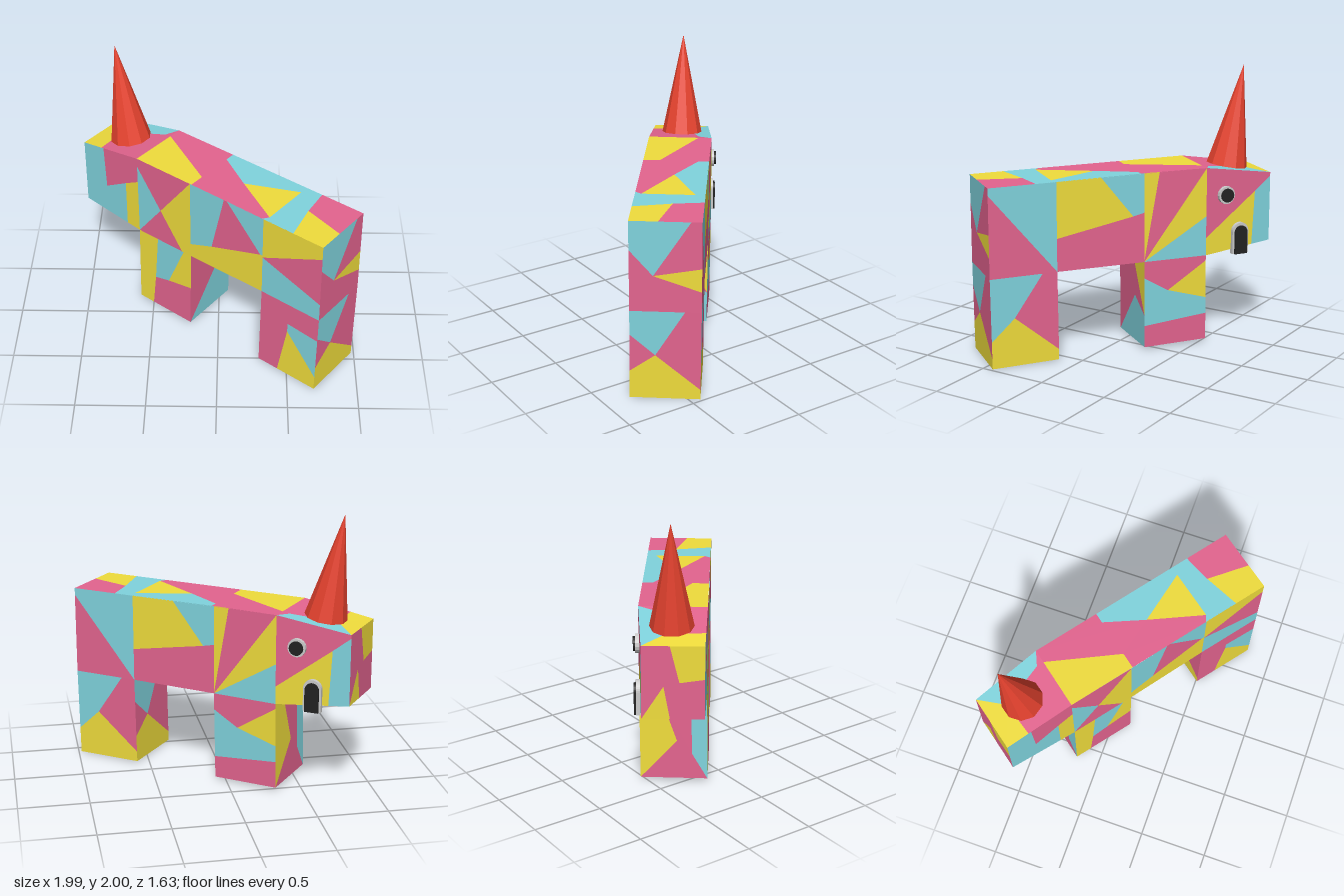
import * as THREE from 'three';

const mat = (color) => new THREE.MeshStandardMaterial({ color, flatShading: true });
const paint = { y: mat(0xf0dd3c), p: mat(0xe4648f), c: mat(0x80d4de) };
const red = mat(0xe8432f), grey = mat(0xcccccc), black = mat(0x222222);

// Sections along the animal, head to tail: [x, z] on both flanks, then top, belly and foot heights
const sections = [
  { right: [-1, -0.49], left: [-0.75, -0.82], top: 1.23, belly: 0.72, foot: 0.03 },
  { right: [-0.59, -0.17], left: [-0.3, -0.54], top: 1.31, belly: 0.665, foot: 0.03 },
  { right: [-0.2, 0.13], left: [0.08, -0.25], top: 1.31, belly: 0.663, foot: 0.02 },
  { right: [0.31, 0.51], left: [0.6, 0.14], top: 1.3, belly: 0.66, foot: 0.015 },
  { right: [0.7, 0.81], left: [0.99, 0.43], top: 1.295, belly: 0.655, foot: 0.005 },
];

// Corner point: section number, flank and level (feet lean slightly towards the head)
function at(i, side, level) {
  const s = sections[i], lean = level === 'foot' ? -0.01 : 0;
  return new THREE.Vector3(s[side][0] + lean, s[level], s[side][1]);
}

// A four-cornered panel tiled with coloured patches given as u, v pairs
function panel(name, [a, b, c, d], patches) {
  const group = new THREE.Group();
  group.name = name;
  for (const [color, ...uv] of patches) {
    const points = [];
    for (let i = 0; i < uv.length; i += 2) points.push(new THREE.Vector2(uv[i], uv[i + 1]));
    const geo = new THREE.ShapeGeometry(new THREE.Shape(points)).toNonIndexed();
    const pos = geo.attributes.position;
    for (let i = 0; i < pos.count; i++) {
      const u = pos.getX(i), v = pos.getY(i);
      const low = a.clone().lerp(b, u), high = d.clone().lerp(c, u);
      const q = low.lerp(high, v);
      pos.setXYZ(i, q.x, q.y, q.z);
    }
    geo.computeVertexNormals();
    const mesh = new THREE.Mesh(geo, paint[color]);
    mesh.name = name + 'Patch';
    group.add(mesh);
  }
  return group;
}

// Panel orientations, each counter-clockwise from outside
const rightFlank = (i, hi, lo) => [at(i, 'right', lo), at(i + 1, 'right', lo), at(i + 1, 'right', hi), at(i, 'right', hi)];
const leftFlank = (i, hi, lo) => [at(i + 1, 'left', lo), at(i, 'left', lo), at(i, 'left', hi), at(i + 1, 'left', hi)];
const tailward = (i, hi, lo) => [at(i, 'right', lo), at(i, 'left', lo), at(i, 'left', hi), at(i, 'right', hi)];
const headward = (i, hi, lo) => [at(i, 'left', lo), at(i, 'right', lo), at(i, 'right', hi), at(i, 'left', hi)];
const upper = (i, j) => [at(i, 'right', 'top'), at(j, 'right', 'top'), at(j, 'left', 'top'), at(i, 'left', 'top')];
const under = (i, level) => [at(i, 'left', level), at(i + 1, 'left', level), at(i + 1, 'right', level), at(i, 'right', level)];

function archShape(w, h) {
  const r = w / 2, s = new THREE.Shape();
  s.moveTo(-r, 0);
  s.lineTo(r, 0);
  s.lineTo(r, h - r);
  s.absarc(0, h - r, r, 0, Math.PI, false);
  return s;
}

function add(parent, name, geo, material, x = 0, y = 0, z = 0) {
  const mesh = new THREE.Mesh(geo, material);
  mesh.name = name;
  mesh.position.set(x, y, z);
  parent.add(mesh);
  return mesh;
}

export function createModel() {
  const model = new THREE.Group();
  model.name = 'patchworkAnimal';
  const put = (...args) => model.add(panel(...args));

  // Right flank
  put('headRight', rightFlank(0, 'top', 'belly'), [
    ['c', 0, 0, .77, 0, .77, .59, .4, .41, .37, 1, 0, 1],
    ['p', .37, 1, .4, .41, .77, .59, 1, .68, 1, 1],
    ['y', .77, 0, 1, 0, 1, .68, .77, .59]]);
  put('shoulderRight', rightFlank(1, 'top', 'belly'), [
    ['c', 0, 0, .43, .43, 0, .89], ['p', 0, .89, .43, .43, 1, 1, 0, 1],
    ['y', 1, 1, .43, .43, .83, 0, 1, 0], ['p', 0, 0, .83, 0, .43, .43]]);
  put('sideRight', rightFlank(2, 'top', 'belly'), [
    ['c', 0, .17, .3, .28, .47, 1, 0, 1], ['p', .47, 1, .3, .28, .97, .5, .51, 1],
    ['c', .51, 1, .97, .5, 1, .5, 1, 1],
    ['y', 0, 0, 1, 0, 1, .5, .97, .5, .3, .28, 0, .17]]);
  put('hipRight', rightFlank(3, 'top', 'belly'), [
    ['y', 0, .475, 1, .84, 1, 1, 0, 1], ['p', 0, .475, 1, .22, 1, .84],
    ['c', 0, 0, 1, 0, 1, .22, 0, .475]]);
  put('frontLegRight', rightFlank(1, 'belly', 'foot'), [
    ['y', 0, 0, .26, 0, .31, .41, .36, 1, 0, 1], ['c', .36, 1, .31, .41, .57, .46, .86, 1],
    ['y', .86, 1, .57, .46, 1, .52, 1, 1], ['p', .26, 0, 1, 0, 1, .52, .57, .46, .31, .41]]);
  put('rearLegRight', rightFlank(3, 'belly', 'foot'), [
    ['p', 0, 0, .34, 0, .48, .62, .48, .73, 1, .7, 1, 1, 0, 1],
    ['c', .48, .62, 1, .17, 1, .7, .48, .73], ['y', .34, 0, 1, 0, 1, .17, .48, .62]]);

  // Left flank
  put('hipLeft', leftFlank(3, 'top', 'belly'), [
    ['p', 0, 0, 1, 0, 0, .92], ['c', 0, .92, 1, 0, 1, 1, 0, 1]]);
  put('sideLeft', leftFlank(2, 'top', 'belly'), [
    ['y', 0, .37, .87, .53, .5, 1, 0, 1], ['c', .5, 1, .87, .53, 1, .56, 1, 1],
    ['p', 0, 0, 1, 0, 1, .56, .87, .53, 0, .37]]);
  put('shoulderLeft', leftFlank(1, 'top', 'belly'), [
    ['y', 0, 0, .24, 1, 0, 1], ['p', 0, 0, 1, 1, .24, 1],
    ['y', 0, 0, 1, .45, 1, 1], ['c', 0, 0, 1, 0, 1, .45]]);
  put('headLeft', leftFlank(0, 'top', 'belly'), [
    ['p', 0, .2, .76, .73, 1, .95, 1, 1, 0, 1], ['c', .72, 0, 1, 0, 1, .95, .76, .73],
    ['y', 0, 0, .72, 0, .76, .73, 0, .2]]);
  put('rearLegLeft', leftFlank(3, 'belly', 'foot'), [
    ['c', 0, .3, .35, .54, .78, 1, 0, 1], ['p', .78, 1, .35, .54, 1, .12, 1, 1],
    ['y', 0, 0, 1, 0, 1, .12, .35, .54, 0, .3]]);
  put('frontLegLeft', leftFlank(1, 'belly', 'foot'), [
    ['p', 0, .81, .38, .64, 1, .94, 1, 1, 0, 1], ['y', .38, .64, 1, .5, 1, .94],
    ['c', 0, .25, 1, .31, 1, .5, .38, .64, 0, .81], ['p', 0, 0, 1, 0, 1, .31, 0, .25]]);

  // Tail end and the faces of the legs
  const rearLegEnd = [
    ['c', 0, .73, .36, .5, .77, 1, 0, 1], ['p', 0, .31, .36, .5, 0, .73],
    ['p', .77, 1, .36, .5, 1, .11, 1, 1], ['y', 0, 0, 1, 0, 1, .11, .36, .5, 0, .31]];
  put('tailEnd', tailward(4, 'top', 'belly'), [
    ['c', 0, .68, .33, .4, .85, 1, 0, 1], ['p', 0, 0, 1, 0, 1, .23, .33, .4, 0, .68],
    ['y', .33, .4, 1, .23, 1, .49], ['p', .33, .4, 1, .49, 1, 1, .85, 1]]);
  put('rearLegBack', tailward(4, 'belly', 'foot'), rearLegEnd);
  put('rearLegFront', headward(3, 'belly', 'foot'), rearLegEnd);
  put('frontLegBack', tailward(2, 'belly', 'foot'), [
    ['p', 0, 0, .62, .54, 1, .37, .56, 1, 0, 1], ['y', .56, 1, 1, .37, 1, 1],
    ['c', 0, 0, 1, 0, 1, .37, .62, .54]]);
  put('frontLegFront', headward(1, 'belly', 'foot'), [
    ['y', 0, 0, .55, .45, .3, 1, 0, 1], ['c', .77, .3, 1, 0, 1, 1, .77, 1],
    ['p', 0, 0, 1, 0, .77, .3, .77, 1, .3, 1, .55, .45]]);
  put('face', headward(0, 'top', 'belly'), [
    ['y', 0, 0, .45, 0, .35, .45], ['y', .45, 1, .6, .5, 1, .55, 1, 1],
    ['p', 0, 0, .35, .45, .45, 0, 1, 0, 1, .55, .6, .5, .45, 1, 0, 1]]);

  // Top
  put('headTop', upper(0, 1), [
    ['y', 0, 0, .33, 0, .3, .6, 0, 1], ['c', 0, 1, .3, .6, .9, .8, 1, 1],
    ['p', .33, 0, 1, 0, 1, 1, .9, .8, .3, .6]]);
  put('backTop', upper(1, 4), [
    ['y', 0, 0, .31, 0, .31, .25, 0, .79],
    ['p', .31, 0, .69, 0, .71, .09, .48, .51, .31, .84, .31, 1, 0, 1, 0, .79, .31, .25],
    ['c', .31, 1, .31, .84, .48, .51, .71, .86, .71, .09, .69, 0, .85, 0, .81, .56, .79, 1],
    ['y', .48, .51, .71, .09, .71, .86],
    ['y', .85, 0, 1, 0, 1, .4, .81, .56], ['p', .79, 1, .81, .56, 1, .4, 1, 1]]);

  // Undersides
  for (const i of [1, 3]) put('sole', under(i, 'foot'), [['y', 0, 0, 1, 0, 1, 1, 0, 1]]);
  put('chin', under(0, 'belly'), [
    ['p', 0, 0, .45, 0, .4, .5, 0, .8], ['c', .45, 0, 1, 0, 1, .5, .4, .5],
    ['y', 0, .8, .4, .5, 1, .5, 1, 1, 0, 1]]);
  put('belly', under(2, 'belly'), [
    ['y', 0, 0, .4, 0, .3, 1, 0, 1], ['c', .4, 0, 1, 0, 1, .4, .36, .5],
    ['p', .36, .5, 1, .4, 1, 1, .3, 1]]);

  // Horn leaning towards the head
  const base = new THREE.Vector3(-0.655, 1.27, -0.51), tip = new THREE.Vector3(-0.75, 2, -0.585);
  const axis = tip.clone().sub(base);
  const horn = add(model, 'horn', new THREE.ConeGeometry(0.15, axis.length(), 10), red);
  horn.position.copy(base).lerp(tip, 0.5);
  horn.quaternion.setFromUnitVectors(new THREE.Vector3(0, 1, 0), axis.normalize());

  // Eye and arched mouth on the left side of the head
  const turn = Math.atan2(0.54, -0.84);
  const eye = new THREE.Group(), mouth = new THREE.Group();
  eye.name = 'eye';
  eye.position.set(-0.43, 1.1, -0.623);
  add(eye, 'eyeRim', new THREE.CylinderGeometry(0.065, 0.065, 0.04, 16).rotateX(Math.PI / 2), grey, 0, 0, 0.005);
  add(eye, 'pupil', new THREE.CylinderGeometry(0.05, 0.05, 0.05, 16).rotateX(Math.PI / 2), black, 0, 0, 0.015);
  mouth.name = 'mouth';
  mouth.position.set(-0.53, 0.655, -0.686);
  const arch = (w, h, depth) => new THREE.ExtrudeGeometry(archShape(w, h), { depth, bevelEnabled: false, curveSegments: 8 });
  add(mouth, 'mouthRim', arch(0.13, 0.23, 0.035), grey, 0, 0, -0.01);
  add(mouth, 'mouthOpening', arch(0.1, 0.21, 0.05), black, 0, -0.001, -0.01);
  for (const g of [eye, mouth]) {
    g.rotation.y = turn;
    model.add(g);
  }
  return model;
}
